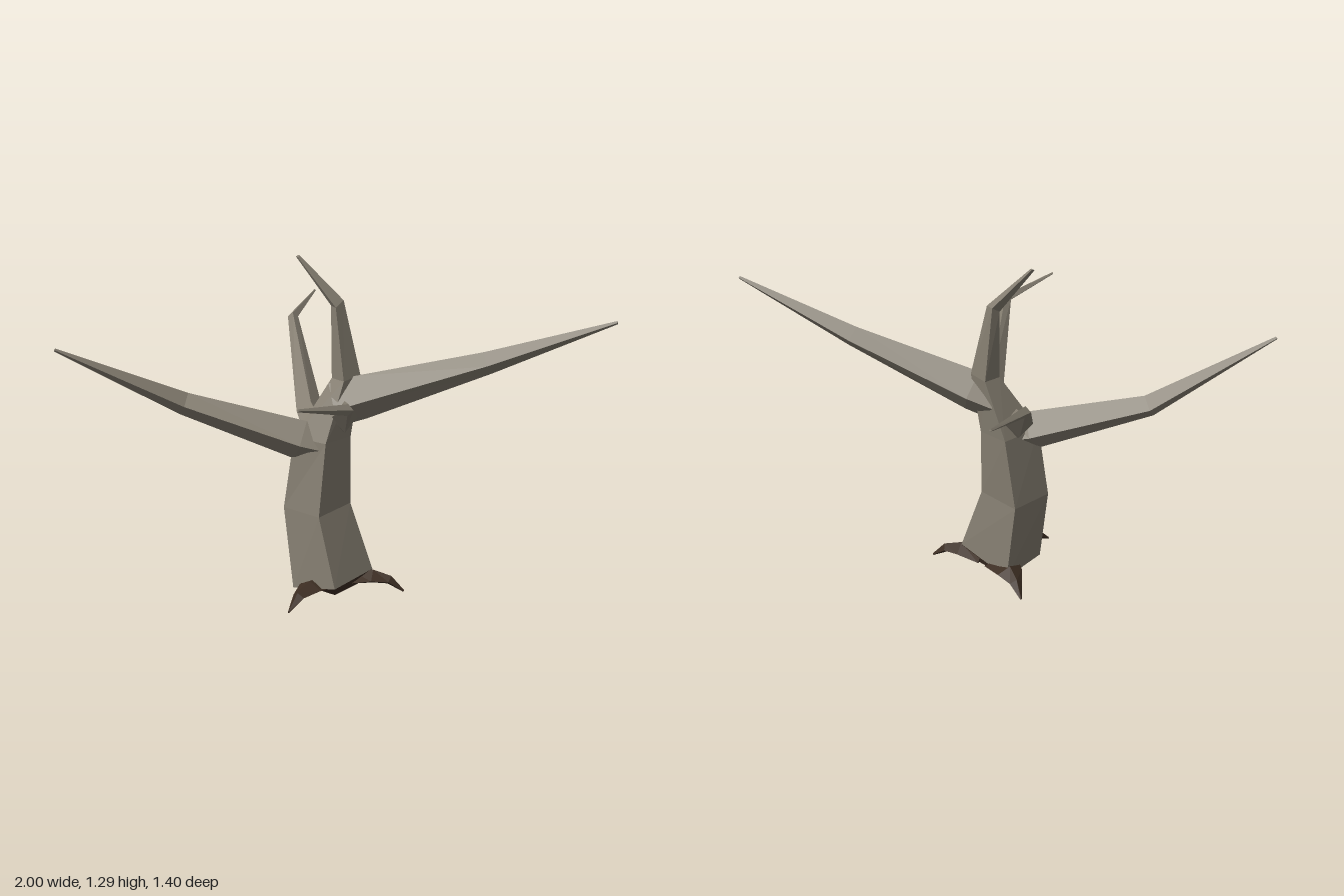
import * as THREE from 'three';

const bark = new THREE.MeshStandardMaterial({ color: 0x857e71 });
bark.name = 'greyBark';
const rootWood = new THREE.MeshStandardMaterial({ color: 0x3d2e23 });
rootWood.name = 'darkRoot';

// Skins a list of equal-length rings with flat faces and closes both ends.
// Corners run counter-clockwise about the direction of travel.
function skin(name, rings, material) {
  const out = [];
  const tri = (a, b, c) => out.push(...a, ...b, ...c);
  const n = rings[0].length;
  for (let i = 0; i < rings.length - 1; i++) {
    for (let k = 0; k < n; k++) {
      const m = (k + 1) % n;
      tri(rings[i][k], rings[i][m], rings[i + 1][m]);
      tri(rings[i][k], rings[i + 1][m], rings[i + 1][k]);
    }
  }
  const first = rings[0], last = rings[rings.length - 1];
  for (let k = 1; k < n - 1; k++) {
    tri(first[0], first[k + 1], first[k]);
    tri(last[0], last[k], last[k + 1]);
  }
  const geometry = new THREE.BufferGeometry();
  geometry.setAttribute('position', new THREE.Float32BufferAttribute(out, 3));
  geometry.computeVertexNormals();
  const mesh = new THREE.Mesh(geometry, material);
  mesh.name = name;
  return mesh;
}

// Four-sided tapering limb; each stop is [x, y, z, half width, half height].
function limb(name, stops, material) {
  const pts = stops.map(s => new THREE.Vector3(s[0], s[1], s[2]));
  const up = new THREE.Vector3(0, 1, 0);
  const rings = pts.map((p, i) => {
    const before = pts[Math.max(i - 1, 0)], after = pts[Math.min(i + 1, pts.length - 1)];
    const t = after.clone().sub(before).normalize();
    const u = up.clone().cross(t).normalize();
    const v = t.clone().cross(u);
    const [, , , w, h] = stops[i];
    return [[w, 0], [0, h], [-w, 0], [0, -h]].map(([a, b]) =>
      p.clone().addScaledVector(u, a).addScaledVector(v, b).toArray());
  });
  return skin(name, rings, material);
}

export function createModel() {
  const tree = new THREE.Group();
  tree.name = 'bareTree';

  // Trunk rings: front, +x, back, -x corners, bending up into the leader
  const foot = [[0, 0.075, 0.18], [0.14, 0.083, 0.01], [-0.06, 0.035, -0.12], [-0.16, 0.03, 0.07]];
  tree.add(skin('trunk', [
    foot,
    [[-0.06, 0.34, 0.12], [0.055, 0.345, -0.015], [-0.09, 0.34, -0.115], [-0.195, 0.34, 0.02]],
    [[-0.035, 0.62, 0.09], [0.055, 0.61, -0.025], [-0.05, 0.62, -0.108], [-0.155, 0.62, 0.02]],
    [[0.03, 0.84, 0.025], [0.09, 0.85, -0.03], [0.03, 0.84, -0.07], [-0.015, 0.84, -0.02]],
    [[0, 1.11, -0.01], [0.028, 1.13, -0.04], [0.005, 1.13, -0.062], [-0.018, 1.11, -0.04]],
    [[-0.138, 1.285, -0.053], [-0.132, 1.292, -0.06], [-0.138, 1.292, -0.067], [-0.145, 1.287, -0.06]],
  ], bark));

  // Branches
  tree.add(limb('leftBranch', [
    [0.0, 0.74, -0.01, 0.075, 0.085],
    [0.09, 0.77, -0.005, 0.075, 0.085],
    [0.55, 0.925, 0.055, 0.043, 0.043],
    [0.998, 1.1, 0.125, 0.006, 0.006],
  ], bark));
  tree.add(limb('rightBranch', [
    [-0.06, 0.59, 0.02, 0.06, 0.055],
    [-0.13, 0.61, 0.02, 0.07, 0.078],
    [-0.56, 0.75, 0.02, 0.042, 0.044],
    [-0.998, 0.995, 0.155, 0.006, 0.006],
  ], bark));
  tree.add(limb('backBranch', [
    [-0.08, 0.66, -0.03, 0.052, 0.055],
    [-0.1, 0.69, -0.09, 0.05, 0.048],
    [-0.178, 0.945, -0.47, 0.02, 0.02],
    [-0.1, 0.99, -0.7, 0.005, 0.005],
  ], bark));
  tree.add(limb('frontBranch', [
    [0.025, 0.7, 0.0, 0.05, 0.06],
    [0.035, 0.72, 0.07, 0.046, 0.058],
    [0.052, 0.908, 0.53, 0.02, 0.02],
    [-0.108, 0.96, 0.69, 0.005, 0.005],
  ], bark));

  // Dark underside narrowing beneath the trunk
  const sole = foot.map(([x, , z]) => [x * 0.72, 0.028, z * 0.72]);
  tree.add(skin('rootBase', [sole, foot], rootWood));

  // Three clawed roots
  const tips = [['leftRoot', 0.26, 0.04], ['frontRoot', -0.17, 0.235], ['backRoot', -0.13, -0.21]];
  for (const [name, x, z] of tips) {
    tree.add(limb(name, [
      [x * 0.2, 0.05, z * 0.2, 0.07, 0.03],
      [x * 0.55, 0.058, z * 0.55, 0.05, 0.027],
      [x * 0.79, 0.048, z * 0.79, 0.025, 0.018],
      [x, 0.005, z, 0.004, 0.004],
    ], rootWood));
  }
  return tree;
}
